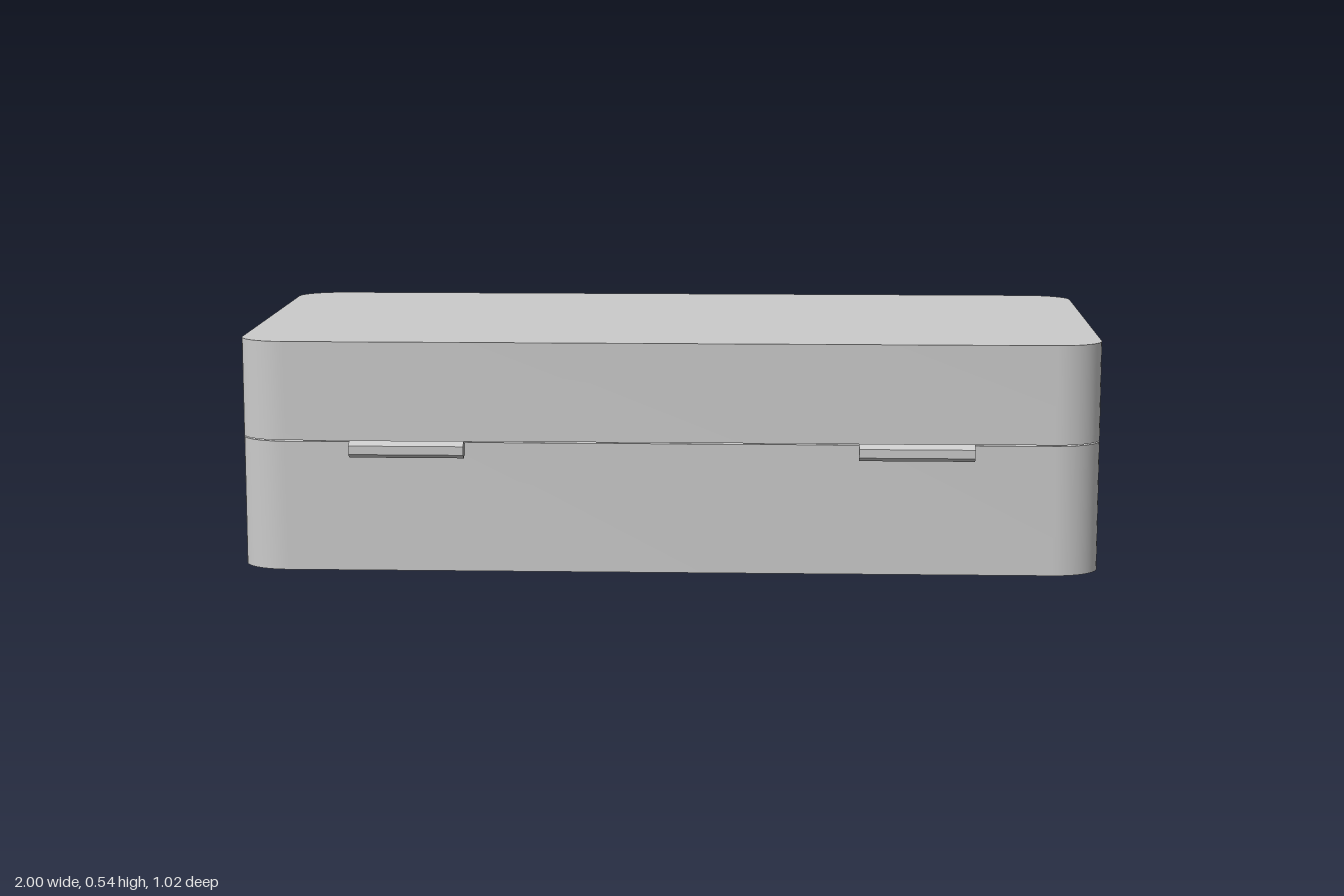
import * as THREE from 'three';
import { toCreasedNormals } from 'three/addons/utils/BufferGeometryUtils.js';

const grey = new THREE.MeshStandardMaterial({ color: 0xcccccc });
const greyFlat = new THREE.MeshStandardMaterial({ color: 0xcccccc, flatShading: true });

function addPart(parent, name, geometry, material = grey) {
  const mesh = new THREE.Mesh(geometry, material);
  mesh.name = name;
  parent.add(mesh);
  return mesh;
}

// Rectangle with elliptical corners, centred on the origin
function roundedRect(w, h, rx, ry) {
  const x = w / 2, y = h / 2, s = new THREE.Shape();
  const q = Math.PI / 2;
  s.moveTo(x, -y + ry);
  [[1, 1], [-1, 1], [-1, -1], [1, -1]].forEach(([sx, sy], i) => {
    s.absellipse(sx * (x - rx), sy * (y - ry), rx, ry, i * q, (i + 1) * q, false);
  });
  s.closePath();
  return s;
}

// Upright slab with rounded vertical corners and sharp rims
function shell(y0, y1, zBack, zFront) {
  const g = new THREE.ExtrudeGeometry(roundedRect(2, zFront - zBack, 0.11, 0.085), {
    depth: y1 - y0, bevelEnabled: false, curveSegments: 6,
  });
  g.rotateX(-Math.PI / 2);
  g.translate(0, y0, (zFront + zBack) / 2);
  return toCreasedNormals(g, 0.6);
}

// Latch lever lofted from rows of [y, half width, thickness], with chamfered front edges
function leverGeometry(rows) {
  const pos = [], index = [], n = 6;
  for (const [y, w, d] of rows) {
    const c = 0.008;
    for (const [x, z] of [[w, 0], [w, -d + c / 2], [w - c, -d], [-w + c, -d], [-w, -d + c / 2], [-w, 0]]) {
      pos.push(x, y, z);
    }
  }
  for (let r = 0; r < rows.length - 1; r++) {
    for (let i = 0; i < n; i++) {
      const a = r * n + i, b = r * n + (i + 1) % n;
      index.push(a, a + n, b, b, a + n, b + n);
    }
  }
  const top = (rows.length - 1) * n;
  for (let i = 1; i < n - 1; i++) {
    index.push(0, i, i + 1);
    index.push(top, top + i + 1, top + i);
  }
  const g = new THREE.BufferGeometry();
  g.setAttribute('position', new THREE.Float32BufferAttribute(pos, 3));
  g.setIndex(index);
  g.computeVertexNormals();
  return g;
}

export function createModel() {
  const model = new THREE.Group();
  model.name = 'hingedCase';

  // Two halves of the case, separated by a fine seam
  addPart(model, 'base', shell(0, 0.304, -0.487, 0.473));
  addPart(model, 'lid', shell(0.307, 0.538, -0.484, 0.475));

  // Hexagonal hinge barrels
  for (const [name, x] of [['rightHinge', -0.605], ['leftHinge', 0.573]]) {
    const g = new THREE.CylinderGeometry(0.02, 0.02, 0.266, 6);
    g.rotateY(Math.PI / 2);
    g.rotateZ(Math.PI / 2);
    addPart(model, name, g, greyFlat).position.set(x, 0.29, 0.491);
  }

  // Latch: oval catch on the lid, tapered lever on the base
  const latch = new THREE.Group();
  latch.name = 'latch';
  model.add(latch);
  const catchGeometry = new THREE.ExtrudeGeometry(roundedRect(0.188, 0.06, 0.03, 0.03), {
    depth: 0.02, bevelEnabled: false, curveSegments: 6,
  });
  addPart(latch, 'catchPlate', toCreasedNormals(catchGeometry, 0.6)).position.set(-0.055, 0.337, -0.497);

  const lever = addPart(latch, 'lever', leverGeometry([
    [0.015, 0.073, 0.028],
    [0.165, 0.073, 0.028],
    [0.215, 0.071, 0.019],
    [0.235, 0.052, 0.018],
    [0.255, 0.036, 0.018],
    [0.272, 0.029, 0.018],
    [0.28, 0.02, 0.018],
  ]), greyFlat);
  lever.position.set(-0.038, 0, -0.48);

  return model;
}
